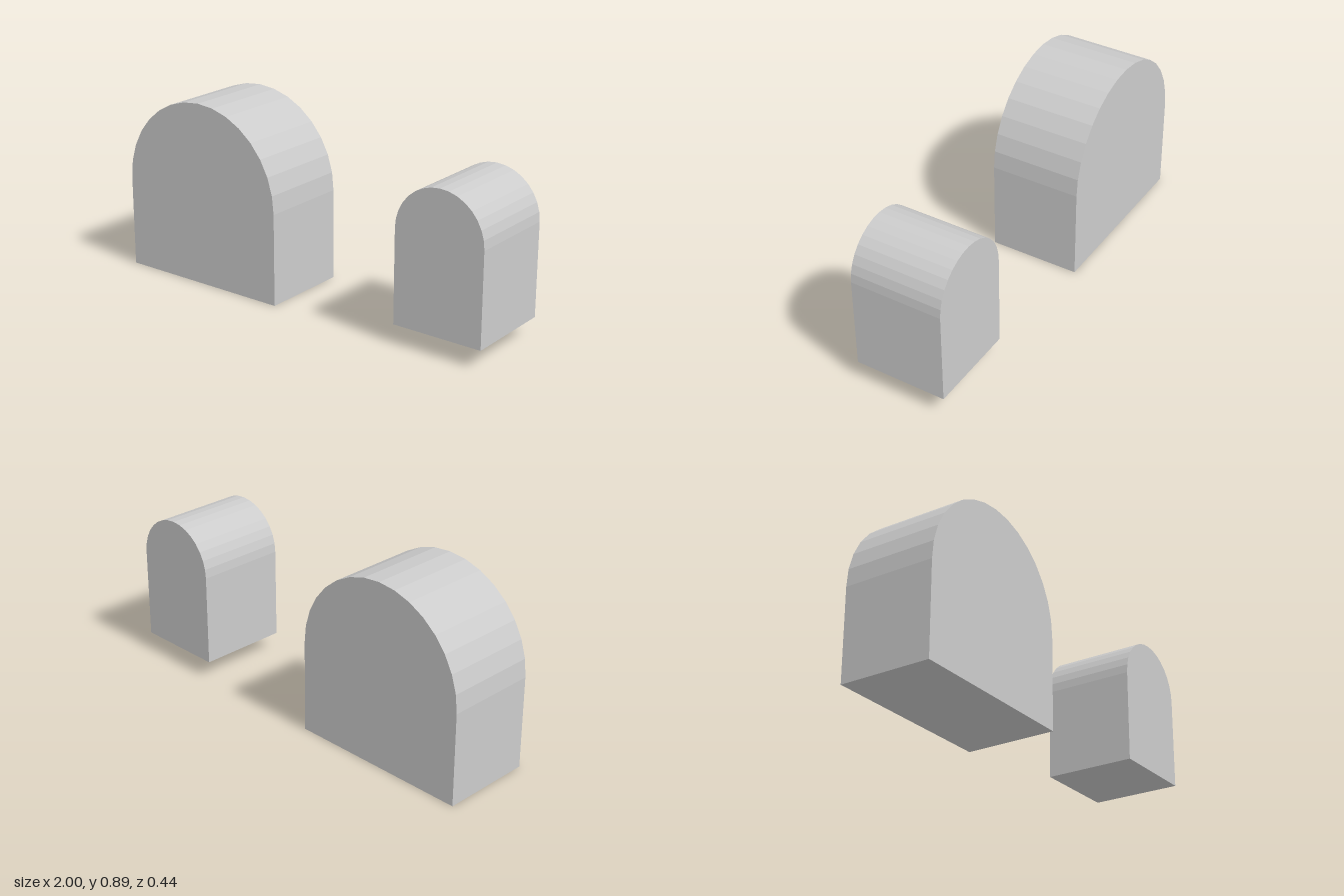
import * as THREE from 'three';

const DEPTH = 0.444;
const material = new THREE.MeshStandardMaterial({ color: 0xcccccc });

// Round-topped block: straight sides of the given height under a faceted half circle
function archGeometry(radius, straight) {
  const shape = new THREE.Shape();
  if (straight > 0) {
    shape.moveTo(-radius, 0);
    shape.lineTo(radius, 0);
  }
  shape.absarc(0, straight, radius, 0, Math.PI, false);
  shape.closePath();
  // curveSegments 8 yields 16 facets over the half circle
  return new THREE.ExtrudeGeometry(shape, { depth: DEPTH, bevelEnabled: false, curveSegments: 8 })
    .translate(0, 0, -DEPTH / 2);
}

function addPart(parent, name, geometry, x, y) {
  const mesh = new THREE.Mesh(geometry, material);
  mesh.name = name;
  mesh.position.set(x, y, 0);
  parent.add(mesh);
}

export function createModel() {
  const model = new THREE.Group();
  model.name = 'archBlocks';

  // Large block: a box with a separate half-round cap
  const r = 0.4444;
  const large = new THREE.Group();
  large.name = 'largeArchBlock';
  large.position.x = -1 + r;
  addPart(large, 'largeBase', new THREE.BoxGeometry(2 * r, r, DEPTH), 0, r / 2);
  addPart(large, 'largeRoundTop', archGeometry(r, 0), 0, r);
  model.add(large);

  // Small block: one piece, raised above the ground
  addPart(model, 'smallArchBlock', archGeometry(r / 2, r), 1 - r / 2, 0.089);

  return model;
}
